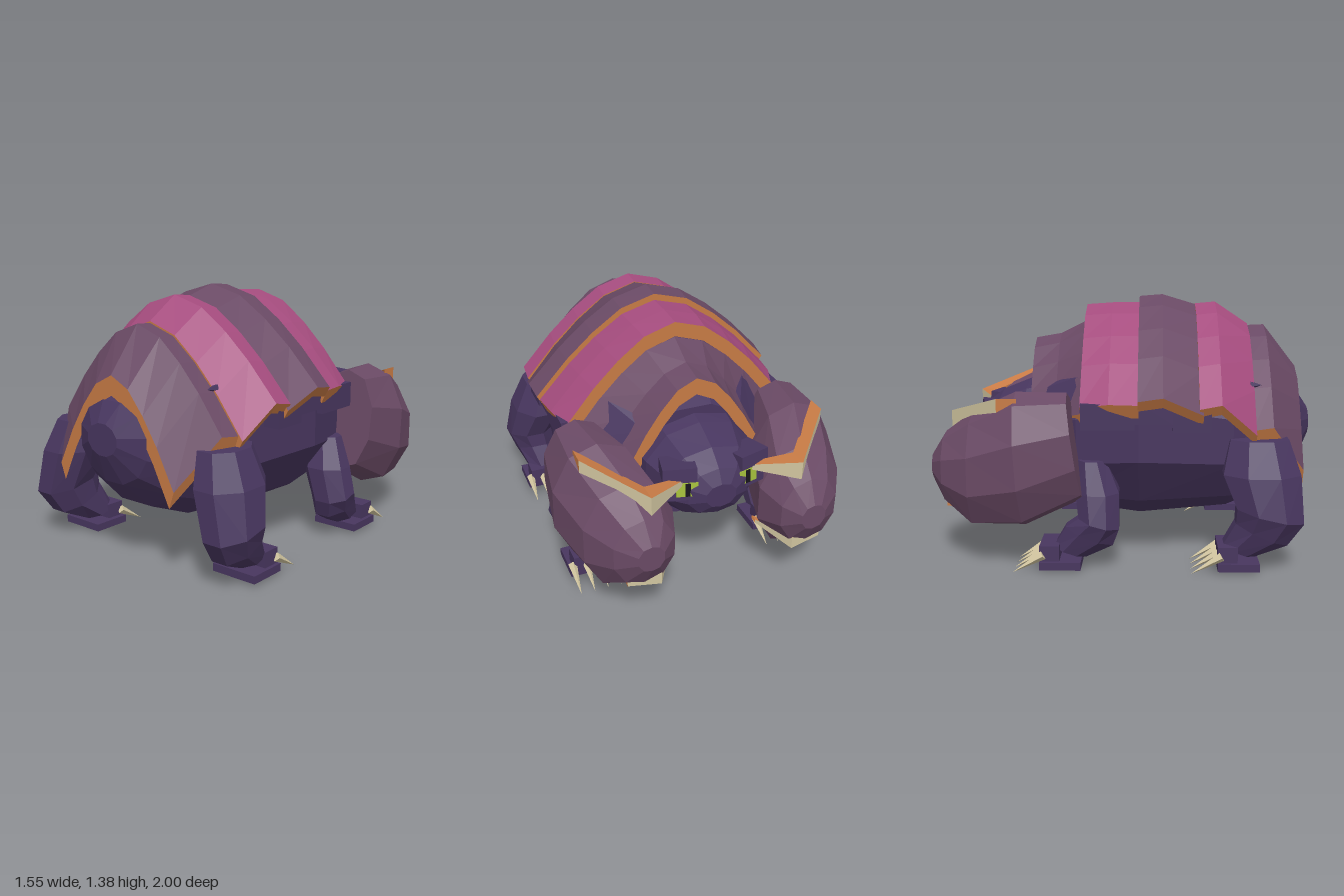
import * as THREE from 'three';

const mat = (name, color, side = THREE.FrontSide) => {
  const m = new THREE.MeshStandardMaterial({ color, flatShading: true, side });
  m.name = name;
  return m;
};

// Faceted surface through rows of points
function grid(rows) {
  const p = [];
  const tri = (a, b, c) => {
    const ab = new THREE.Vector3(...b).sub(new THREE.Vector3(...a));
    const ac = new THREE.Vector3(...c).sub(new THREE.Vector3(...a));
    if (ab.cross(ac).length() > 1e-8) p.push(...a, ...b, ...c);
  };
  for (let i = 0; i < rows.length - 1; i++) {
    for (let j = 0; j < rows[i].length - 1; j++) {
      const a = rows[i][j], b = rows[i + 1][j], c = rows[i + 1][j + 1], d = rows[i][j + 1];
      tri(a, b, c);
      tri(a, c, d);
    }
  }
  const g = new THREE.BufferGeometry();
  g.setAttribute('position', new THREE.Float32BufferAttribute(p, 3));
  g.computeVertexNormals();
  return g;
}

const capped = (rows) => {
  const centre = (r) => {
    const n = r.length - 1;
    const c = [0, 1, 2].map((k) => r.slice(0, n).reduce((s, q) => s + q[k], 0) / n);
    return r.map(() => c);
  };
  return grid([centre(rows[0]), ...rows, centre(rows[rows.length - 1])]);
};

// Loft along -z; each ring is [z, x0, x1, y0, y1, lean]
const loftZ = (rings, sides) => capped(rings.map(([z, x0, x1, y0, y1, lean = 0]) =>
  Array.from({ length: sides + 1 }, (_, i) => {
    const a = ((i + 0.5) / sides) * Math.PI * 2, k = 1 / Math.cos(Math.PI / sides);
    const s = Math.max(-1, Math.min(1, Math.sin(a) * k)), c = Math.max(-1, Math.min(1, Math.cos(a) * k));
    return [(x0 + x1) / 2 + c * (x1 - x0) / 2, (y0 + y1) / 2 + s * (y1 - y0) / 2, z + lean * s];
  })));

// Loft downwards; each ring is [x, y, z, rx, rz, tilt]
const loftDown = (rings, sides) => capped(rings.map(([x, y, z, rx, rz, tilt = 0]) =>
  Array.from({ length: sides + 1 }, (_, i) => {
    const a = ((i + 0.5) / sides) * Math.PI * 2;
    return [x + Math.cos(a) * rx, y + tilt * Math.sin(a), z - Math.sin(a) * rz];
  })));

// Mirrored copy across x with the corner order kept outward
function mirrorGeometry(geometry) {
  const g = geometry.index ? geometry.toNonIndexed() : geometry.clone();
  const p = g.attributes.position;
  for (let i = 0; i < p.count; i += 3) {
    const v = [0, 2, 1].map((k) => [-p.getX(i + k), p.getY(i + k), p.getZ(i + k)]);
    v.forEach((q, k) => p.setXYZ(i + k, ...q));
  }
  g.computeVertexNormals();
  return g;
}

export function createModel() {
  const root = new THREE.Group();
  root.name = 'armouredCreature';
  const skin = mat('dark purple skin', 0x48365f);
  const mauve = mat('mauve armour', 0x6a4a65);
  const pink = mat('pink armour', 0xa54c7e);
  const orange = mat('orange rim', 0xc87b45, THREE.DoubleSide);
  const bone = mat('bone', 0xd2c6a0, THREE.DoubleSide);
  const green = mat('green eye', 0xa3bd3c);
  const black = mat('black pupil', 0x18141c);

  const add = (name, geometry, material) => {
    const m = new THREE.Mesh(geometry, material);
    m.name = name;
    root.add(m);
  };
  const pair = (name, geometry, material) => {
    add(name + 'Left', geometry, material);
    add(name + 'Right', mirrorGeometry(geometry), material);
  };
  const box = (x0, x1, y0, y1, z0, z1) => new THREE.BoxGeometry(x1 - x0, y1 - y0, z1 - z0)
    .translate((x0 + x1) / 2, (y0 + y1) / 2, (z0 + z1) / 2);

  // Body, running from the tail stub to the head
  const bodyRings = [[1, 0.1, 0.6, 0.76], [0.93, 0.23, 0.45, 0.86], [0.78, 0.41, 0.31, 0.98],
    [0.55, 0.52, 0.22, 1.08], [0.07, 0.6, 0.18, 1.22], [-0.25, 0.53, 0.22, 1.08], [-0.48, 0.36, 0.33, 0.96]];
  const headRings = [[-0.46, 0.3, 0.38, 0.93], [-0.55, 0.29, 0.42, 0.91], [-0.7, 0.24, 0.47, 0.85],
    [-0.79, 0.16, 0.52, 0.78], [-0.83, 0.08, 0.58, 0.71]];
  const sym = ([z, w, y0, y1]) => [z, -w, w, y0, y1];
  add('body', loftZ(bodyRings.map(sym), 12), skin);
  add('head', loftZ(headRings.map(sym), 10), skin);

  // Overlapping shell bands; stations are [z, half width, top, bottom]
  const bands = [
    ['tailBand', mauve, [[0.93, 0.4, 0.985, 0.48], [0.75, 0.54, 1.215, 0.73], [0.64, 0.57, 1.21, 0.72]], 0.1],
    ['rearBand', pink, [[0.66, 0.59, 1.22, 0.7], [0.48, 0.65, 1.34, 0.86], [0.37, 0.655, 1.33, 0.84]], 0.06],
    ['middleBand', mauve, [[0.39, 0.655, 1.32, 0.81], [0.19, 0.69, 1.38, 0.9], [0.065, 0.68, 1.37, 0.88]], 0.06],
    ['frontBand', pink, [[0.07, 0.665, 1.335, 0.86], [-0.08, 0.645, 1.335, 0.86], [-0.225, 0.605, 1.325, 0.84]], 0.08],
    ['neckBand', mauve, [[-0.22, 0.56, 1.24, 0.8], [-0.37, 0.42, 1.165, 0.75], [-0.51, 0.37, 1.14, 0.7]], 0.09],
  ];
  const across = [1, 0.74, 0.52, 0.28, 0], drop = [1, 0.61, 0.34, 0.11, 0];
  const arch = (z, w, top, bottom) => {
    const half = across.map((u, i) => [u * w, top - drop[i] * (top - bottom), z]);
    return [...half, ...half.slice(0, 4).reverse().map(([x, y]) => [-x, y, z])];
  };
  for (const [name, material, stations, thick] of bands) {
    const outer = stations.map(([z, w, t, b]) => arch(z, w, t, b));
    const inner = stations.map(([z, w, t, b]) => arch(z, w - 0.03, t - thick, b - Math.max(0.05, thick * 0.85)));
    const n = stations.length - 1;
    add(name, grid(outer), material);
    add(name + 'Lining', grid(inner.map((r) => [...r].reverse())), skin);
    add(name + 'TailRim', grid([inner[0], outer[0]]), orange);
    add(name + 'HeadRim', grid([outer[n], inner[n]]), orange);
    pair(name + 'SideRim', grid([outer.map((r) => r[0]), inner.map((r) => r[0])]), orange);
  }

  // Skin folds under the shell and small studs on it
  [[0.24, 0.43, 0.72, 0.83], [0.05, 0.24, 0.76, 0.88], [-0.22, 0.05, 0.73, 0.86]].forEach(([z0, z1, y0, y1], i) =>
    pair('skinFold' + i, box(0.5, 0.63, y0, y1, z0, z1), skin));
  pair('stud', new THREE.ConeGeometry(0.022, 0.06, 5).rotateX(Math.PI / 2).translate(0.41, 0.93, 0.67), skin);

  // Great armoured pods beside the head
  pair('pod', loftZ([
    [-0.25, 0.41, 0.74, 0.37, 0.91, -0.04], [-0.53, 0.31, 0.775, 0.22, 0.91, -0.02],
    [-0.78, 0.24, 0.7, 0.2, 0.8], [-0.93, 0.29, 0.6, 0.32, 0.69], [-1, 0.37, 0.5, 0.44, 0.58],
  ], 10), mauve);

  // Chevron crests: bone on the outer face, orange on top, beneath and behind
  const crest = (name, path, height, depth) => {
    const shift = (dy, dz) => path.map(([x, y, z], i) => [x, y + dy * height[i], z + dz * depth[i]]);
    const top = shift(0, 0), low = shift(-1, 0), backTop = shift(0, 1), backLow = shift(-1, 1);
    pair(name + 'Face', grid([low, top]), bone);
    pair(name + 'Edge', grid([top, backTop, backLow, low]), orange);
    const e = path.length - 1;
    pair(name + 'End', grid([[top[e], backTop[e]], [low[e], backLow[e]]]), orange);
  };
  crest('upperCrest', [[0.19, 0.75, -0.78], [0.4, 0.79, -0.91], [0.66, 0.89, -0.63]], [0.03, 0.1, 0.09], [0.03, 0.1, 0.1]);
  crest('lowerCrest', [[0.24, 0.38, -0.76], [0.36, 0.36, -0.94], [0.53, 0.36, -0.92]], [0.02, 0.07, 0.05], [0.04, 0.12, 0.12]);

  // Brows and eyes
  const turned = (g, x, y, z) => g.rotateX(0.1).rotateY(-0.25).translate(x, y, z);
  pair('brow', turned(new THREE.BoxGeometry(0.17, 0.07, 0.15), 0.185, 0.775, -0.71), skin);
  pair('eyeSocket', turned(new THREE.BoxGeometry(0.15, 0.12, 0.12), 0.18, 0.69, -0.72), skin);
  pair('eye', turned(new THREE.BoxGeometry(0.11, 0.075, 0.008), 0.165, 0.695, -0.785), green);
  pair('pupil', turned(new THREE.BoxGeometry(0.025, 0.07, 0.008), 0.163, 0.695, -0.79), black);

  // Legs with stepped feet and four claws each
  const legs = [
    ['tailLeg', 0, [[0.5, 0.67, 0.68, 0.12, 0.16], [0.54, 0.5, 0.69, 0.16, 0.21], [0.6, 0.3, 0.73, 0.14, 0.18, 0.04],
      [0.58, 0.2, 0.69, 0.12, 0.14, 0.06], [0.55, 0.1, 0.58, 0.1, 0.09, 0.03]], 0.47],
    ['headLeg', 1, [[0.5, 0.56, -0.17, 0.1, 0.08], [0.54, 0.4, -0.14, 0.13, 0.12], [0.59, 0.25, -0.13, 0.12, 0.11, 0.03],
      [0.57, 0.18, -0.18, 0.11, 0.13, 0.05], [0.55, 0.09, -0.28, 0.09, 0.09, 0.03]], -0.43],
  ];
  for (const [name, , rings, toe] of legs) {
    pair(name, loftDown(rings, 8), skin);
    pair(name + 'Foot', box(0.42, 0.68, 0.02, 0.06, toe, toe + 0.21), skin);
    pair(name + 'Instep', box(0.45, 0.66, 0.05, 0.14, toe, toe + 0.1), skin);
    for (let i = 0; i < 4; i++) {
      const x = 0.44 + i * 0.075;
      const claw = new THREE.ConeGeometry(0.024, 0.18, 4).translate(0, 0.09, 0)
        .rotateX(-Math.PI / 2 - 0.53).translate(x, 0.095, toe + 0.02);
      pair(name + 'Claw' + i, claw, bone);
    }
  }
  return root;
}
